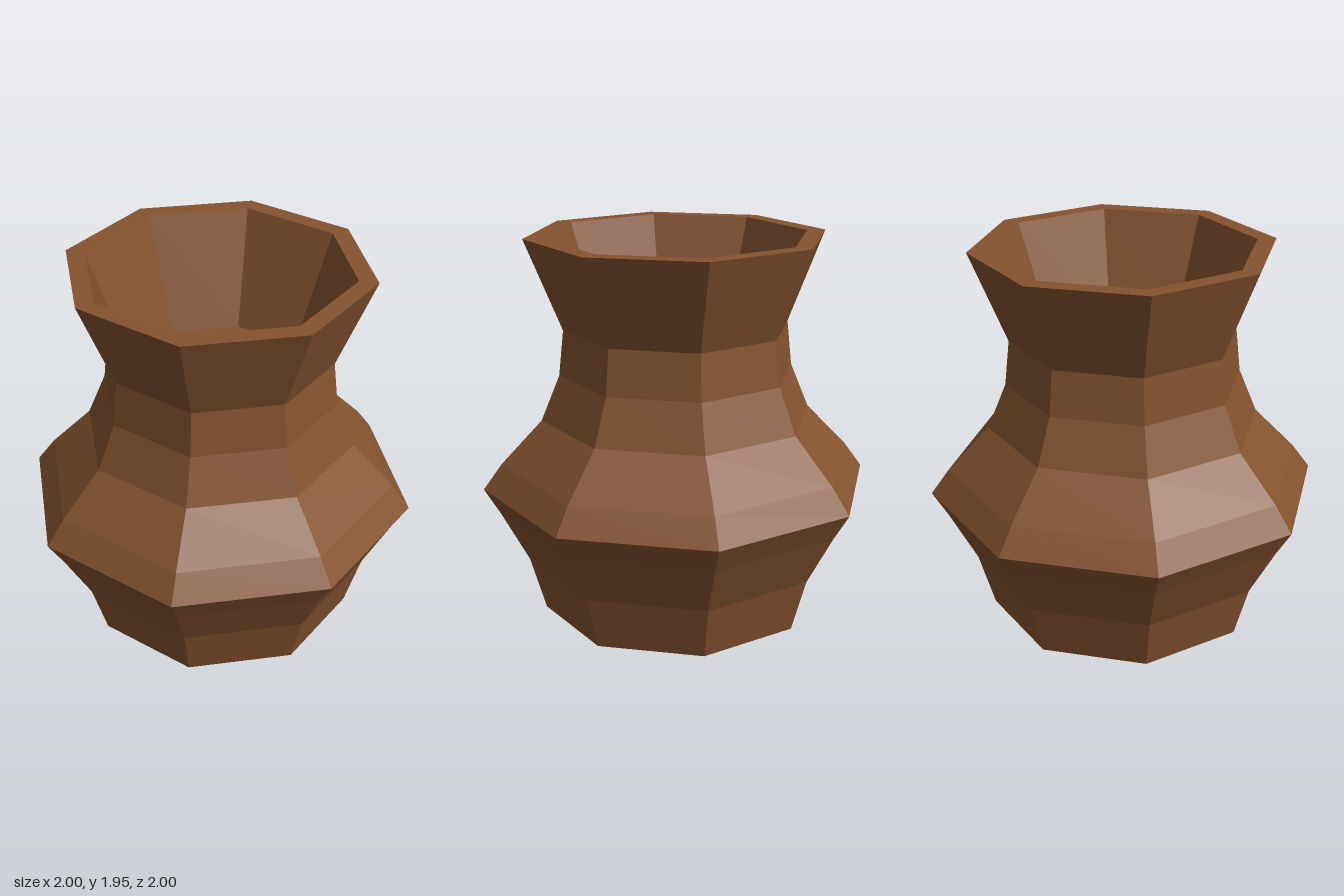
import * as THREE from 'three';

const SIDES = 8;

// Eight-sided turned surface with one flat normal per facet
function facetedLathe(profile) {
  const points = profile.map(([r, y]) => new THREE.Vector2(r, y));
  const geometry = new THREE.LatheGeometry(points, SIDES).toNonIndexed();
  geometry.computeVertexNormals();
  return geometry;
}

export function createModel() {
  const clay = new THREE.MeshStandardMaterial({ color: 0x85532f });
  clay.name = 'brown clay';

  const pot = new THREE.Group();
  pot.name = 'pot';

  const parts = {
    // Underside, belly, shoulder, neck and flared lip
    outerBody: [
      [0, 0], [0.7, 0], [0.78, 0.28], [0.92, 0.545], [1, 0.68], [0.905, 0.81],
      [0.695, 1.03], [0.6, 1.26], [0.575, 1.49], [0.76, 1.95],
    ],
    // Flat ring on top
    rim: [[0.76, 1.95], [0.665, 1.95]],
    // Tapered hollow with a flat floor
    innerHollow: [[0.665, 1.95], [0.455, 1.37], [0, 1.37]],
  };

  for (const [name, profile] of Object.entries(parts)) {
    const mesh = new THREE.Mesh(facetedLathe(profile), clay);
    mesh.name = name;
    pot.add(mesh);
  }
  return pot;
}
